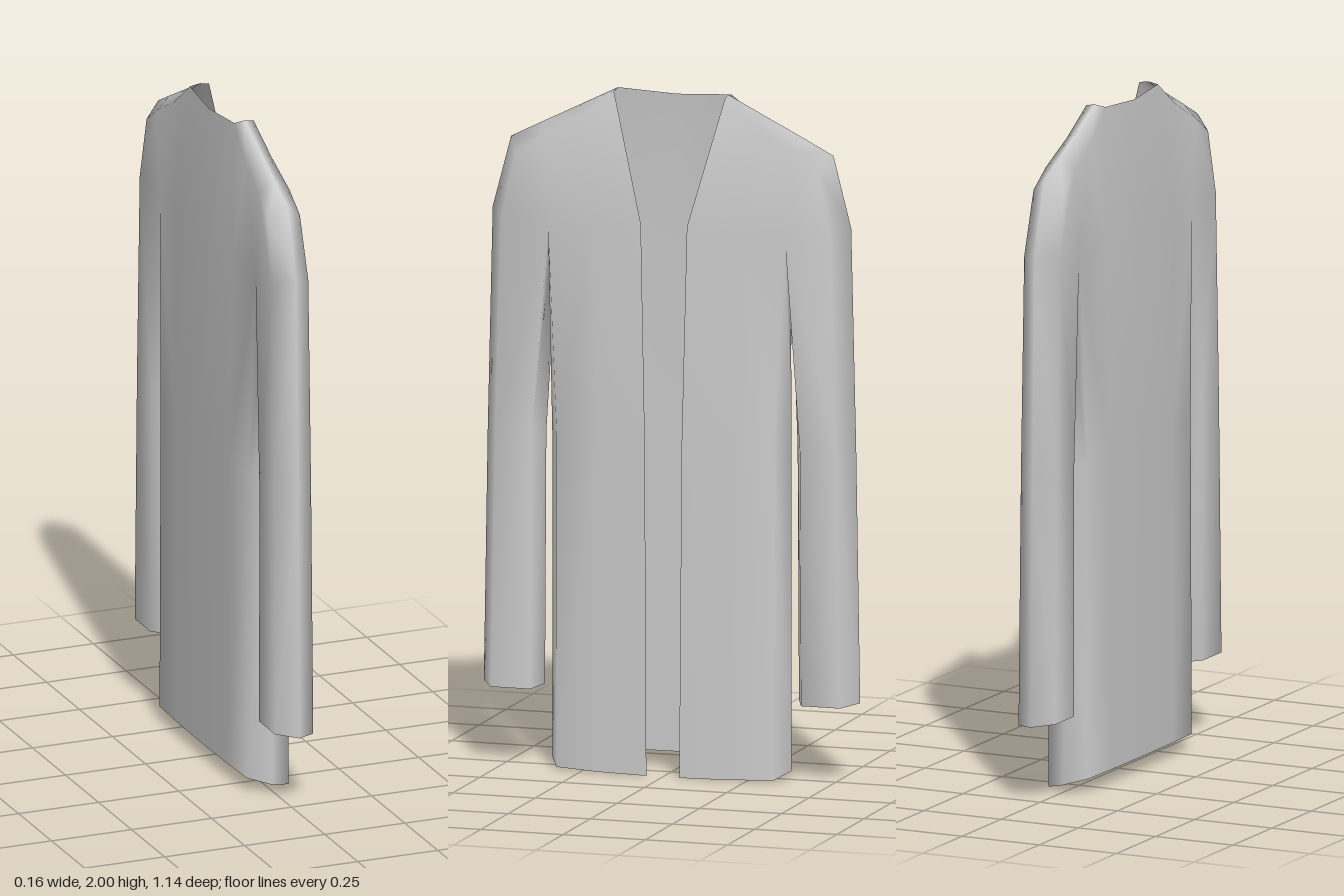
import * as THREE from 'three';
import { mergeVertices } from 'three/addons/utils/BufferGeometryUtils.js';

// All points are [x, y, z]; the coat opens towards +x and is mirrored in z.
export function createModel() {
  const tris = [];
  const same = (p, q) => p.every((v, i) => Math.abs(v - q[i]) < 1e-6);
  const tri = (a, b, c) => {
    if (same(a, b) || same(b, c) || same(a, c)) return;
    tris.push(...a, ...b, ...c);
    for (const p of [a, c, b]) tris.push(p[0], p[1], -p[2]);
  };
  // Skin between neighbouring cross-sections
  const loft = (rings) => {
    for (let r = 0; r < rings.length - 1; r++) {
      for (let i = 0; i < rings[r].length - 1; i++) {
        const a = rings[r][i], d = rings[r][i + 1];
        const b = rings[r + 1][i], c = rings[r + 1][i + 1];
        tri(a, d, c);
        tri(a, c, b);
      }
    }
  };

  // Shoulder yoke: strips running from the chest over the shoulder to the back
  const yoke = [
    [[0.07, 1.62, 0.07], [0.018, 1.995, 0.169], [-0.01, 2, 0.17], [-0.042, 1.995, 0.168], [-0.074, 1.6, 0.1]],
    [[0.06, 1.6, 0.22], [0.032, 1.915, 0.27], [-0.01, 1.945, 0.28], [-0.05, 1.915, 0.27], [-0.07, 1.6, 0.22]],
    [[0.045, 1.59, 0.36], [0.04, 1.853, 0.385], [-0.01, 1.888, 0.395], [-0.055, 1.853, 0.385], [-0.055, 1.59, 0.36]],
    [[0.052, 1.61, 0.5], [0.042, 1.8, 0.46], [-0.008, 1.84, 0.49], [-0.057, 1.8, 0.46], [-0.062, 1.61, 0.5]],
  ];
  const outer = [-0.005, 1.63, 0.545];
  loft([...yoke, Array(5).fill(outer)]);

  // Back of the neck
  const [neck, chest, armpit, shoulder] = yoke;
  const backCentre = [-0.075, 1.6, 0];
  loft([[[-0.052, 1.985, 0], backCentre], [neck[3], neck[4]]]);

  // Body, from the front edge round the side to the middle of the back
  const pit = [-0.005, 1.585, 0.36];
  const bodyRing = (y, edge, s, hem) =>
    [[0.08 * s, edge], [0.074 * s, 0.2], [0.06 * s, 0.33], [-0.005, 0.364],
      [-0.07 * s, 0.33], [-0.077 * s, 0.2], [-0.079 * s, 0.1], [-0.08 * s, 0]]
      .map(([x, z]) => [x, y + hem * (0.08 - x), z]);
  loft([
    [neck[0], chest[0], armpit[0], pit, armpit[4], chest[4], neck[4], backCentre],
    bodyRing(0.98, 0.056, 0.95, 0),
    bodyRing(0, 0.05, 1, 0.28),
  ]);

  // Sleeve, a six-sided tube open at the cuff
  const sleeveRing = (y, zIn, zOut, s, slant) =>
    [[-0.005, zIn], [0.06 * s - 0.005, zIn + 0.026], [0.06 * s - 0.005, zOut - 0.042],
      [-0.005, zOut], [-0.06 * s - 0.005, zOut - 0.042], [-0.06 * s - 0.005, zIn + 0.026], [-0.005, zIn]]
      .map(([x, z]) => [x, y - slant * x, z]);
  loft([
    [pit, armpit[0], shoulder[0], outer, shoulder[4], armpit[4], pit],
    sleeveRing(0.98, 0.382, 0.56, 0.97, 0),
    sleeveRing(0.235, 0.386, 0.572, 1, 0.12),
  ]);

  let geometry = new THREE.BufferGeometry();
  geometry.setAttribute('position', new THREE.Float32BufferAttribute(tris, 3));
  geometry = mergeVertices(geometry);
  geometry.computeVertexNormals();

  const cloth = new THREE.MeshStandardMaterial({ color: 0xcccccc, side: THREE.DoubleSide });
  cloth.name = 'light grey cloth';
  const coat = new THREE.Mesh(geometry, cloth);
  coat.name = 'coat';
  const group = new THREE.Group();
  group.name = 'longOpenCoat';
  group.add(coat);
  return group;
}
